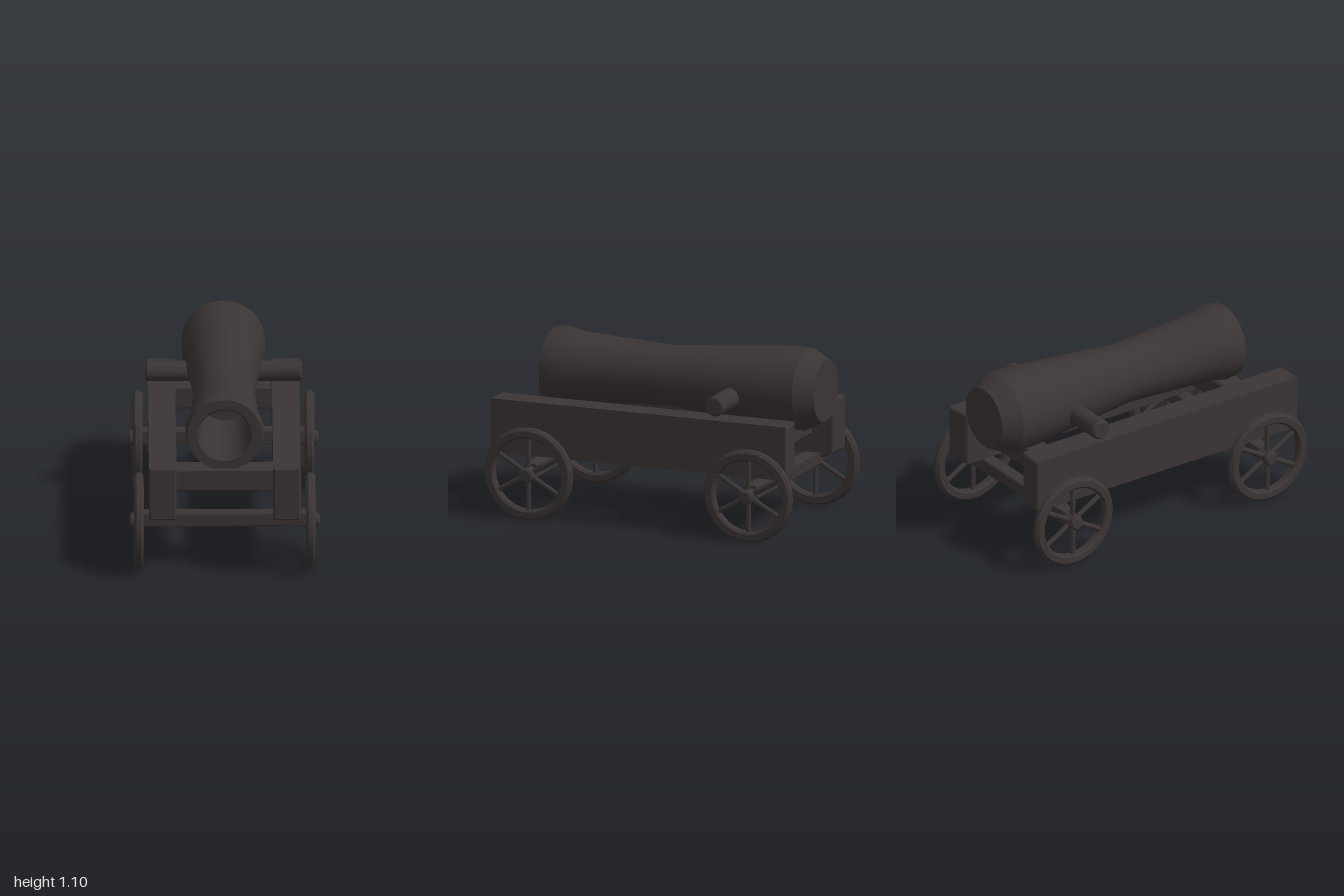
import * as THREE from 'three';
import { toCreasedNormals } from 'three/addons/utils/BufferGeometryUtils.js';

const iron = new THREE.MeshStandardMaterial({ color: 0x3b3434 });
iron.name = 'dark iron';

function add(parent, name, geometry, x = 0, y = 0, z = 0) {
  const mesh = new THREE.Mesh(geometry, iron);
  mesh.name = name;
  mesh.position.set(x, y, z);
  parent.add(mesh);
  return mesh;
}

// Turned solid around the y axis; points run bottom to top on the outside
function turned(points, segments, crease = 0.6) {
  const profile = points.map(([r, h]) => new THREE.Vector2(r, h));
  return toCreasedNormals(new THREE.LatheGeometry(profile, segments), crease);
}

// Centred box with chamfered edges
function chamferBox(w, h, d, c = 0.01) {
  const a = w / 2 - c, b = h / 2 - c;
  const shape = new THREE.Shape([
    new THREE.Vector2(-a, -b), new THREE.Vector2(a, -b),
    new THREE.Vector2(a, b), new THREE.Vector2(-a, b),
  ]);
  const g = new THREE.ExtrudeGeometry(shape, {
    depth: d - 2 * c, bevelEnabled: true, bevelSize: c, bevelThickness: c, bevelSegments: 1,
  });
  return g.translate(0, 0, -(d / 2 - c));
}

// Cylinder along x with chamfered ends
function chamferRod(radius, length, segments, c) {
  const h = length / 2;
  return turned([[0, -h], [radius - c, -h], [radius, -h + c], [radius, h - c], [radius - c, h], [0, h]], segments)
    .rotateZ(-Math.PI / 2);
}

function makeWheel() {
  const wheel = new THREE.Group();
  wheel.name = 'wheel';
  // Rim with bevelled inner and outer edges
  const rim = turned([
    [0.22, -0.018], [0.232, -0.03], [0.268, -0.03], [0.285, -0.014],
    [0.285, 0.014], [0.268, 0.03], [0.232, 0.03], [0.22, 0.018], [0.22, -0.018],
  ], 28, 0.5);
  add(wheel, 'rim', rim.rotateZ(-Math.PI / 2));
  add(wheel, 'hub', chamferRod(0.045, 0.11, 12, 0.012));
  // Three rods across the wheel make six spokes
  for (let i = 0; i < 3; i++) {
    const spoke = add(wheel, 'spoke', new THREE.CylinderGeometry(0.016, 0.016, 0.5, 8));
    spoke.rotation.x = i * Math.PI / 3;
  }
  return wheel;
}

export function createModel() {
  const cannon = new THREE.Group();
  cannon.name = 'cannon';

  // Barrel: breech at the back, waist in the middle, flared muzzle, hollow bore
  const barrel = turned([
    [0, -1], [0.19, -1], [0.25, -0.885], [0.25, -0.72], [0.182, 0],
    [0.212, 0.6], [0.236, 0.7], [0.224, 0.77],
    [0.165, 0.77], [0.155, 0.76], [0.15, 0.1], [0, 0.1],
  ], 32, 0.45).rotateX(Math.PI / 2);
  add(cannon, 'barrel', barrel, 0, 0.848, 0);
  add(cannon, 'trunnion', chamferRod(0.062, 0.94, 16, 0.012), 0, 0.803, -0.47);

  for (const side of [-1, 1]) {
    // Side rail, with its back end slightly skewed
    const rail = chamferBox(0.165, 0.33, 1.92);
    const p = rail.attributes.position;
    for (let i = 0; i < p.count; i++) {
      if (p.getZ(i) < 0) p.setZ(i, p.getZ(i) - 0.08 * side * p.getX(i));
    }
    rail.computeVertexNormals();
    add(cannon, side > 0 ? 'leftRail' : 'rightRail', rail, side * 0.372, 0.55, 0.03);
  }

  for (const end of [-1, 1]) {
    const label = end > 0 ? 'front' : 'back';
    add(cannon, label + 'Crossbeam', chamferBox(0.62, 0.14, 0.145), 0, 0.565, end * 0.715);
    add(cannon, label + 'Axle', chamferBox(0.98, 0.085, 0.085, 0.006), 0, 0.302, end * 0.715);
    for (const side of [-1, 1]) {
      const wheel = makeWheel();
      wheel.name = label + (side > 0 ? 'Left' : 'Right') + 'Wheel';
      wheel.position.set(side * 0.515, 0.287, end * 0.715);
      cannon.add(wheel);
    }
  }
  return cannon;
}
